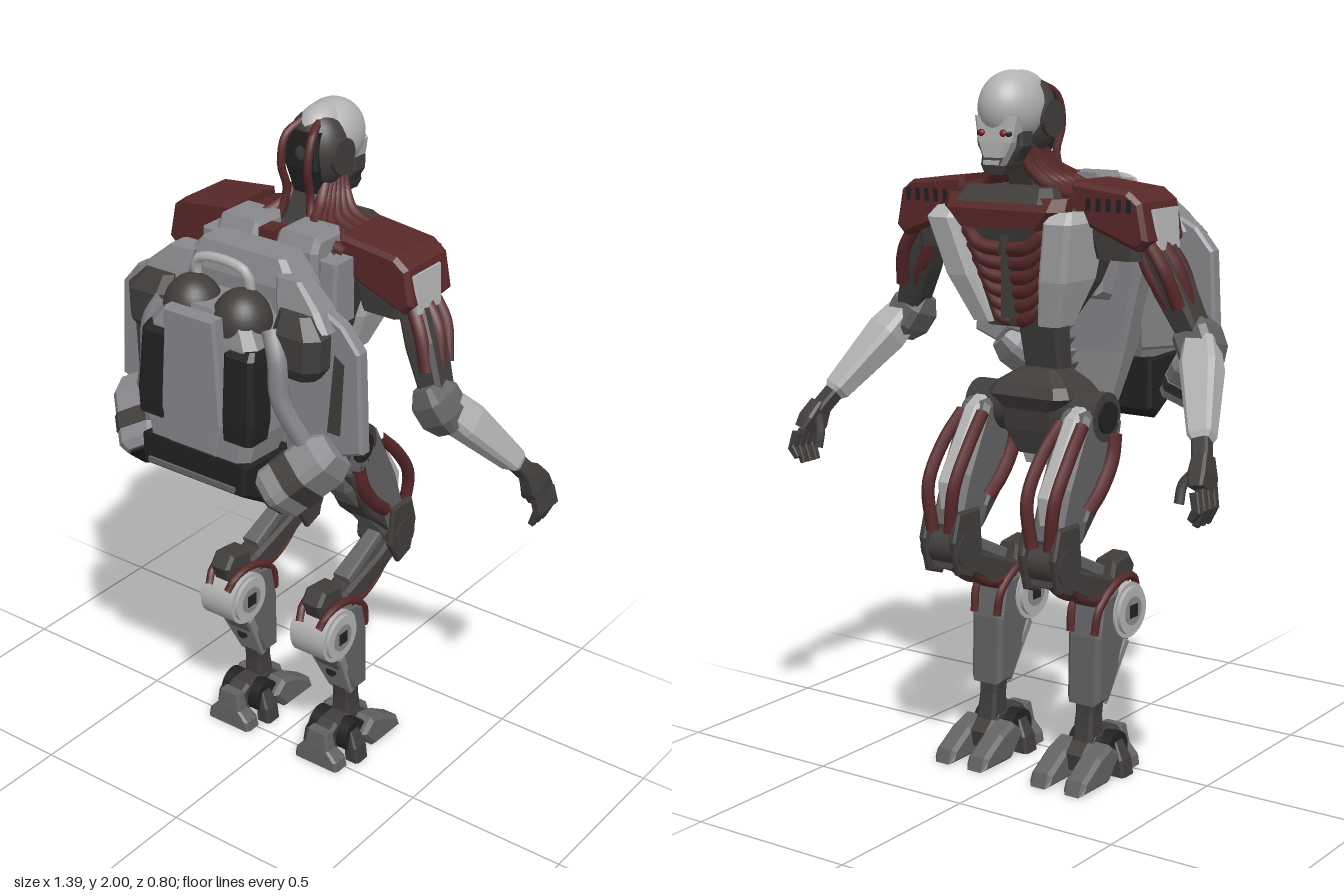
import * as THREE from 'three';

const mat = (name, color) => Object.assign(new THREE.MeshStandardMaterial({ color }), { name });
const V = (p) => new THREE.Vector3(...p);

export function createModel() {
  const root = new THREE.Group();
  root.name = 'cyborg';
  const WHITE = mat('bone white', 0xb2b2b2), LIGHT = mat('light grey', 0x88888c);
  const MID = mat('mid grey', 0x626264), DARK = mat('dark grey', 0x403d3b);
  const BLACK = mat('black', 0x212121), RED = mat('dark red', 0x582828), EYE = mat('eye red', 0x8a1c24);

  const add = (name, geo, m, pos = [0, 0, 0]) => {
    const mesh = new THREE.Mesh(geo, m);
    mesh.name = name;
    mesh.position.set(...pos);
    root.add(mesh);
    return mesh;
  };
  // chamfered rings [y, halfWidth, halfDepth, x, z], bottom to top, flat sided and capped
  const loftGeo = (rings, c = 0.3) => {
    const pos = [];
    const pts = rings.map(([y, w, d, x = 0, z = 0]) => {
      const k = Math.min(w, d) * c;
      return [[w, d - k], [w, k - d], [w - k, -d], [k - w, -d], [-w, k - d], [-w, d - k], [k - w, d], [w - k, d]]
        .map(([a, b]) => [x + a, y, z + b]);
    });
    const tri = (...t) => t.forEach((p) => pos.push(...p));
    for (let i = 0; i + 1 < pts.length; i++) {
      for (let k = 0; k < 8; k++) {
        const j = (k + 1) % 8, a = pts[i], b = pts[i + 1];
        tri(a[k], a[j], b[j], a[k], b[j], b[k]);
      }
    }
    const lo = pts[0], hi = pts[pts.length - 1];
    for (let k = 1; k < 7; k++) {
      tri(lo[0], lo[k + 1], lo[k]);
      tri(hi[0], hi[k], hi[k + 1]);
    }
    const g = new THREE.BufferGeometry();
    g.setAttribute('position', new THREE.Float32BufferAttribute(pos, 3));
    g.computeVertexNormals();
    return g;
  };
  const loft = (name, m, rings, c) => add(name, loftGeo(rings, c), m);
  // loft running from a to b, rings given as [fraction, halfWidth, halfDepth]
  const bone = (name, m, a, b, rings) => {
    const A = V(a), Y = V(b).sub(A), len = Y.length();
    Y.normalize();
    const X = new THREE.Vector3(1, 0, 0).addScaledVector(Y, -Y.x).normalize();
    const g = loftGeo(rings.map(([t, w, d]) => [t * len, w, d]));
    g.applyMatrix4(new THREE.Matrix4().makeBasis(X, Y, X.clone().cross(Y)).setPosition(A));
    return add(name, g, m);
  };
  const extrude = (pts, depth, bevel) => {
    const g = new THREE.ExtrudeGeometry(new THREE.Shape(pts.map((p) => new THREE.Vector2(...p))), {
      depth: depth - 2 * bevel, bevelEnabled: bevel > 0, bevelSize: bevel, bevelThickness: bevel,
      bevelOffset: -bevel, bevelSegments: 1,
    });
    return g.translate(0, 0, bevel - depth / 2);
  };
  // outline in (z, y), thickened along x
  const side = (name, m, x, width, pts, bevel = 0.01) =>
    add(name, extrude(pts, width, bevel).rotateY(-Math.PI / 2), m, [x, 0, 0]);
  // outline in (x, y), thickened along z
  const front = (name, m, s, z, depth, pts, bevel = 0.008) =>
    add(name, extrude(pts.map(([x, y]) => [x * s, y]), depth, bevel), m, [0, 0, z]);
  const tube = (name, m, r, pts) =>
    add(name, new THREE.TubeGeometry(new THREE.CatmullRomCurve3(pts.map(V)), 16, r, 7), m);
  const ball = (name, m, p, r) => add(name, new THREE.SphereGeometry(1, 28, 20).scale(...r), m, p);
  const box = (name, m, p, size) => add(name, new THREE.BoxGeometry(...size), m, p);
  const disc = (name, m, p, r, w) => add(name, new THREE.CylinderGeometry(r, r, w, 24).rotateZ(Math.PI / 2), m, p);

  // head
  ball('skullDome', WHITE, [0, 1.9, -0.235], [0.086, 0.1, 0.108]);
  ball('skullBack', DARK, [0, 1.875, -0.172], [0.09, 0.112, 0.082]);
  ball('skullCrown', WHITE, [0, 1.915, -0.195], [0.068, 0.084, 0.092]);
  loft('nape', BLACK, [[1.76, 0.04, 0.03, 0, -0.14], [1.84, 0.055, 0.03, 0, -0.12], [1.94, 0.05, 0.03, 0, -0.125]]);
  loft('face', WHITE, [[1.77, 0.035, 0.03, 0, -0.3], [1.81, 0.055, 0.045, 0, -0.285], [1.88, 0.07, 0.05, 0, -0.275]]);
  loft('jaw', DARK, [[1.725, 0.03, 0.035, 0, -0.295], [1.75, 0.042, 0.06, 0, -0.275], [1.8, 0.055, 0.07, 0, -0.24]]);
  box('teeth', WHITE, [0, 1.757, -0.322], [0.05, 0.012, 0.03]);
  bone('neck', DARK, [0, 1.6, -0.1], [0, 1.82, -0.19], [[0, 0.06, 0.06], [1, 0.045, 0.05]]);

  // torso core, collar and spine
  loft('torso', DARK, [[1.3, 0.11, 0.06, 0, -0.16], [1.42, 0.17, 0.11, 0, -0.13], [1.58, 0.22, 0.16, 0, -0.12],
    [1.64, 0.2, 0.17, 0, -0.12], [1.69, 0.15, 0.1, 0, -0.07]]);
  loft('collar', RED, [[1.58, 0.15, 0.05, 0, -0.26], [1.63, 0.2, 0.06, 0, -0.255], [1.665, 0.2, 0.05, 0, -0.245]], 0.6);
  loft('collarTop', DARK, [[1.65, 0.17, 0.058, 0, -0.257], [1.69, 0.14, 0.04, 0, -0.235]], 0.6);
  box('backStrip', RED, [0, 1.62, 0.03], [0.05, 0.18, 0.06]);
  box('sternum', DARK, [0, 1.45, -0.26], [0.025, 0.24, 0.03]);
  bone('spineCore', DARK, [0, 1.08, -0.05], [0, 1.36, -0.1], [[0, 0.06, 0.03], [1, 0.07, 0.04]]);
  for (let i = 0; i < 7; i++) {
    const y = 1.11 + i * 0.037, z = -0.01 - 0.009 * i;
    loft('vertebra', i % 2 ? MID : LIGHT, [[y, 0.035, 0.035, 0, z], [y + 0.026, 0.05, 0.04, 0, z + 0.005]]);
  }

  // pelvis
  loft('waist', DARK, [[1.06, 0.1, 0.09, 0, -0.09], [1.1, 0.14, 0.11, 0, -0.09], [1.13, 0.12, 0.09, 0, -0.09], [1.17, 0.06, 0.05, 0, -0.08]]);
  loft('pelvis', DARK, [[0.93, 0.06, 0.06, 0, -0.09], [1.0, 0.1, 0.08, 0, -0.09], [1.08, 0.11, 0.09, 0, -0.09]]);
  side('tailPlate', WHITE, 0, 0.13, [[0.02, 1.04], [0.03, 0.95], [-0.02, 0.9], [-0.1, 0.89], [-0.12, 0.94], [-0.06, 1.04]]);

  // backpack centre
  loft('packFrame', LIGHT, [[1.02, 0.1, 0.025, 0, 0.11], [1.2, 0.15, 0.045, 0, 0.13], [1.5, 0.23, 0.065, 0, 0.13], [1.62, 0.2, 0.065, 0, 0.13], [1.69, 0.14, 0.05, 0, 0.12]]);
  loft('packBody', LIGHT, [[1.13, 0.16, 0.08, 0, 0.3], [1.25, 0.19, 0.105, 0, 0.275], [1.5, 0.18, 0.09, 0, 0.265], [1.58, 0.13, 0.07, 0, 0.26]]);
  front('packSpinePanel', LIGHT, 1, 0.37, 0.045, [[-0.085, 1.58], [0.085, 1.58], [0.105, 1.28], [0.08, 1.18], [-0.08, 1.18], [-0.105, 1.28]]);
  side('packBase', BLACK, 0, 0.36, [[0.39, 1.18], [0.39, 1.09], [0.23, 0.99], [0.19, 1.02], [0.19, 1.17]]);
  box('packBaseRim', MID, [0, 1.105, 0.388], [0.3, 0.015, 0.02]);
  tube('packHandle', WHITE, 0.014, [[-0.09, 1.6, 0.24], [-0.085, 1.665, 0.25], [-0.05, 1.682, 0.25], [0.05, 1.682, 0.25], [0.085, 1.665, 0.25], [0.09, 1.6, 0.24]]);

  for (const s of [-1, 1]) {
    const P = (x, y, z) => [x * s, y, z];

    // head details and neck hoses
    ball('eyeSocket', BLACK, P(0.036, 1.835, -0.314), [0.022, 0.017, 0.017]);
    ball('eye', EYE, P(0.036, 1.835, -0.328), [0.01, 0.009, 0.007]);
    front('cheek', DARK, s, -0.27, 0.06, [[0.05, 1.76], [0.075, 1.8], [0.075, 1.84], [0.055, 1.83]]);
    disc('earPlate', DARK, P(0.086, 1.87, -0.17), 0.05, 0.012);
    tube('headHose', RED, 0.012, [P(0.025, 1.96, -0.14), P(0.042, 1.93, -0.085), P(0.045, 1.85, -0.065), P(0.04, 1.77, -0.085), P(0.06, 1.67, -0.06)]);
    for (let i = 0; i < 6; i++) {
      const z = -0.03 - i * 0.036;
      tube('neckHose', RED, 0.018, [P(0.035, 1.8, -0.16 - i * 0.016), P(0.055, 1.74, -0.11 - i * 0.024), P(0.1, 1.695, z), P(0.2, 1.665, z)]);
    }

    // chest and upper back plates
    loft('chestPlate', WHITE, [[1.31, 0.035, 0.045, s * 0.11, -0.19], [1.44, 0.045, 0.085, s * 0.155, -0.2],
      [1.6, 0.045, 0.1, s * 0.195, -0.22], [1.63, 0.035, 0.08, s * 0.19, -0.21]]);
    for (let i = 0; i < 6; i++) {
      const y = 1.56 - i * 0.04, w = 0.16 - i * 0.014, z = -0.27 + i * 0.01;
      tube('ribHose', RED, 0.021, [P(0.015, y - 0.04, z), P(w * 0.5, y - 0.03, z - 0.008), P(w * 0.75, y, z), P(w, y + 0.01, z + 0.02)]);
    }
    side('upperBackPlate', LIGHT, s * 0.1, 0.14, [[0.05, 1.72], [0.07, 1.68], [0.07, 1.5], [0.01, 1.36], [-0.06, 1.38], [-0.06, 1.72]], 0.015);
    loft('backCorner', LIGHT, [[1.48, 0.03, 0.05, s * 0.2, 0.01], [1.66, 0.03, 0.045, s * 0.2, 0.01]]);

    // backpack sides
    front('packWing', LIGHT, s, 0.17, 0.045, [[0.15, 1.62], [0.2, 1.64], [0.35, 1.565], [0.405, 1.5], [0.42, 1.21], [0.34, 1.18], [0.3, 1.22], [0.17, 1.2]]);
    front('wingInset', DARK, s, 0.193, 0.008, [[0.33, 1.48], [0.36, 1.46], [0.35, 1.25], [0.31, 1.25]], 0);
    loft('packShoulder', LIGHT, [[1.55, 0.08, 0.05, s * 0.25, 0.19], [1.6, 0.07, 0.045, s * 0.22, 0.18], [1.66, 0.04, 0.035, s * 0.18, 0.17]]);
    loft('packRotor', DARK, [[1.41, 0.045, 0.04, s * 0.25, 0.22], [1.45, 0.075, 0.055, s * 0.25, 0.23], [1.54, 0.078, 0.055, s * 0.25, 0.23], [1.59, 0.05, 0.035, s * 0.23, 0.22]], 0.6);
    ball('packTank', DARK, P(0.083, 1.54, 0.27), [0.082, 0.09, 0.082]);
    loft('packSidePanel', BLACK, [[1.24, 0.05, 0.045, s * 0.145, 0.34], [1.3, 0.055, 0.05, s * 0.145, 0.335], [1.48, 0.05, 0.045, s * 0.14, 0.325], [1.5, 0.04, 0.035, s * 0.14, 0.315]]);
    tube('packArm', LIGHT, 0.028, [P(0.18, 1.54, 0.27), P(0.215, 1.47, 0.29), P(0.225, 1.36, 0.29), P(0.28, 1.22, 0.25)]);

    // thruster pod, tilted out and back
    const top = P(0.345, 1.21, 0.2), low = P(0.215, 1.07, 0.32);
    const along = (t) => top.map((v, i) => v + (low[i] - v) * t);
    bone('thruster', LIGHT, top, low, [[0, 0.04, 0.055], [0.2, 0.06, 0.075], [0.9, 0.06, 0.075], [1, 0.045, 0.06]]);
    bone('thrusterBand', DARK, along(0.5), along(0.72), [[0, 0.063, 0.078], [1, 0.063, 0.078]]);
    bone('thrusterMouth', BLACK, along(0.98), along(1.03), [[0, 0.038, 0.052], [1, 0.038, 0.052]]);

    // shoulder
    front('shoulderPad', RED, s, -0.125, 0.2, [[0.18, 1.71], [0.36, 1.69], [0.4, 1.66], [0.42, 1.56], [0.39, 1.53], [0.18, 1.61]], 0.012);
    loft('shoulderBlock', DARK, [[1.5, 0.07, 0.07, s * 0.3, -0.12], [1.62, 0.09, 0.08, s * 0.29, -0.12]]);
    bone('shoulderPlate', WHITE, P(0.408, 1.53, -0.11), P(0.395, 1.64, -0.11), [[0, 0.018, 0.055], [1, 0.018, 0.065]]);
    for (let i = 0; i < 5; i++) box('padRib', BLACK, P(0.24 + i * 0.032, 1.65, -0.226), [0.012, 0.035, 0.008]);

    // arm
    bone('upperArm', DARK, P(0.36, 1.58, -0.12), P(0.49, 1.29, -0.07), [[0, 0.04, 0.045], [0.5, 0.045, 0.05], [1, 0.035, 0.04]]);
    for (const [dx, dz] of [[0.04, 0], [0.03, -0.045], [0.02, 0.045], [-0.035, -0.025]]) {
      tube('armHose', RED, 0.02, [P(0.37 + dx * 0.6, 1.56, -0.12 + dz), P(0.41 + dx, 1.48, -0.11 + dz * 1.2), P(0.45 + dx * 0.6, 1.38, -0.09 + dz)]);
    }
    bone('elbow', MID, P(0.46, 1.34, -0.05), P(0.53, 1.22, -0.08), [[0, 0.035, 0.035], [0.3, 0.055, 0.06], [0.7, 0.055, 0.06], [1, 0.035, 0.04]]);
    bone('forearm', WHITE, P(0.51, 1.28, -0.08), P(0.625, 1.06, -0.27), [[0, 0.042, 0.045], [0.25, 0.052, 0.05], [0.95, 0.034, 0.032], [1, 0.025, 0.025]]);
    bone('wrist', DARK, P(0.615, 1.08, -0.255), P(0.65, 1.01, -0.31), [[0, 0.024, 0.024], [1, 0.024, 0.024]]);
    bone('palm', DARK, P(0.648, 1.03, -0.3), P(0.668, 0.95, -0.34), [[0, 0.022, 0.03], [0.6, 0.026, 0.045], [1, 0.02, 0.045]]);
    for (let i = 0; i < 4; i++) {
      const z = -0.3 - i * 0.027, y = 0.945 - i * 0.004, tip = 0.86 + (i === 3 ? 0.02 : 0);
      bone('fingerBase', DARK, P(0.672, y + 0.02, z), P(0.685, 0.9, z - 0.008), [[0, 0.013, 0.012], [1, 0.012, 0.011]]);
      bone('fingerTip', DARK, P(0.685, 0.91, z - 0.008), P(0.665, tip, z - 0.008), [[0, 0.013, 0.012], [1, 0.009, 0.009]]);
    }
    tube('thumb', DARK, 0.014, [P(0.645, 1.0, -0.32), P(0.615, 0.96, -0.345), P(0.612, 0.91, -0.36)]);

    // thigh and knee
    const L = 0.17 * s;
    disc('hipJoint', DARK, P(0.145, 1.05, -0.1), 0.07, 0.15);
    disc('hipCap', BLACK, P(0.222, 1.05, -0.1), 0.045, 0.012);
    side('thigh', MID, L, 0.1, [[-0.01, 1.03], [-0.08, 1.1], [-0.19, 1.07], [-0.29, 0.88], [-0.34, 0.74], [-0.25, 0.68], [-0.13, 0.82], [-0.04, 0.92]], 0.015);
    side('thighFrontPlate', WHITE, L, 0.05, [[-0.15, 1.09], [-0.21, 1.06], [-0.34, 0.86], [-0.33, 0.78], [-0.28, 0.82]]);
    side('thighRearPlate', DARK, L, 0.115, [[-0.02, 0.99], [-0.07, 0.99], [-0.22, 0.78], [-0.24, 0.71], [-0.13, 0.81]]);
    for (const o of [-1, 1]) {
      const x = L + o * 0.056;
      tube('thighHose', RED, 0.022, [[x, 1.0, -0.07], [x + o * 0.004, 0.93, -0.09], [x + o * 0.004, 0.85, -0.15], [x, 0.8, -0.21]]);
      tube('thighFrontHose', RED, 0.019, [[L + o * 0.035, 1.04, -0.2], [L + o * 0.045, 0.96, -0.28], [L + o * 0.045, 0.85, -0.35], [L + o * 0.03, 0.72, -0.35]]);
      side('kneeCheek', DARK, L + o * 0.052, 0.024, [[-0.25, 0.78], [-0.35, 0.78], [-0.375, 0.7], [-0.35, 0.6], [-0.29, 0.58], [-0.24, 0.66]], 0.006);
      tube('linkHose', RED, 0.012, [[L + o * 0.03, 0.61, -0.28], [L + o * 0.032, 0.55, -0.2], [L + o * 0.035, 0.53, -0.13], [L + o * 0.04, 0.54, -0.06]]);
    }
    disc('kneeJoint', DARK, [L, 0.67, -0.31], 0.05, 0.135);
    bone('kneeLink', DARK, [L, 0.65, -0.33], [L, 0.51, -0.02], [[0, 0.04, 0.04], [0.3, 0.045, 0.035], [0.8, 0.04, 0.05], [1, 0.04, 0.06]]);
    bone('linkPiston', MID, [L, 0.68, -0.25], [L, 0.6, -0.08], [[0, 0.022, 0.018], [1, 0.028, 0.018]]);

    // hock and shank
    side('hockGuard', DARK, L, 0.07, [[0.08, 0.59], [0.05, 0.63], [-0.03, 0.62], [-0.05, 0.55], [0.06, 0.54]]);
    side('shank', MID, L, 0.11, [[0.07, 0.5], [0.05, 0.4], [0, 0.36], [-0.08, 0.22], [-0.15, 0.22], [-0.145, 0.42], [-0.12, 0.53], [-0.02, 0.55]], 0.014);
    bone('shankRear', LIGHT, [L, 0.215, -0.09], [L, 0.385, -0.005], [[0, 0.043, 0.012], [1, 0.062, 0.014]]);
    disc('hockHub', WHITE, [L, 0.47, 0.01], 0.082, 0.12);
    for (const o of [-1, 1]) {
      const x = L + o * 0.064;
      disc('hockDisc', WHITE, [x, 0.47, 0.01], 0.07, 0.014);
      disc('hockRing', LIGHT, [x + o * 0.004, 0.47, 0.01], 0.042, 0.01);
      box('hockBolt', BLACK, [x + o * 0.006, 0.47, 0.01], [0.01, 0.038, 0.038]);
      tube('hockHose', RED, 0.012, [[L + o * 0.035, 0.52, 0.08], [L + o * 0.045, 0.56, 0.05], [L + o * 0.05, 0.565, -0.04], [L + o * 0.045, 0.5, -0.13], [L + o * 0.04, 0.43, -0.145]]);
    }
    const bolt = disc('shankBolt', BLACK, [L, 0.3, -0.05], 0.018, 0.04);
    bolt.rotation.y = Math.PI / 2;

    // ankle and foot
    bone('ankle', DARK, [L, 0.07, -0.12], [L, 0.3, -0.1], [[0, 0.035, 0.04], [0.5, 0.03, 0.032], [1, 0.035, 0.035]]);
    disc('ankleJoint', BLACK, [L, 0.075, -0.065], 0.052, 0.14);
    side('footBridge', DARK, L, 0.07, [[0.03, 0.1], [-0.02, 0.13], [-0.13, 0.13], [-0.19, 0.08], [-0.18, 0.03], [0.02, 0.03]]);
    loft('heel', MID, [[0, 0.08, 0.032, L, 0.013], [0.03, 0.075, 0.03, L, 0.015], [0.06, 0.045, 0.024, L, 0.02], [0.115, 0.035, 0.018, L, 0.02]]);
    for (const o of [-1, 1]) {
      side('toe', MID, L + o * 0.058, 0.07, [[-0.08, 0.07], [-0.13, 0.11], [-0.19, 0.09], [-0.27, 0.04], [-0.285, 0], [-0.14, 0]], 0.012);
      loft('footSpur', DARK, [[0, 0.025, 0.03, L + o * 0.08, -0.06], [0.05, 0.022, 0.03, L + o * 0.075, -0.06], [0.1, 0.012, 0.02, L + o * 0.06, -0.06]]);
    }
  }
  return root;
}
